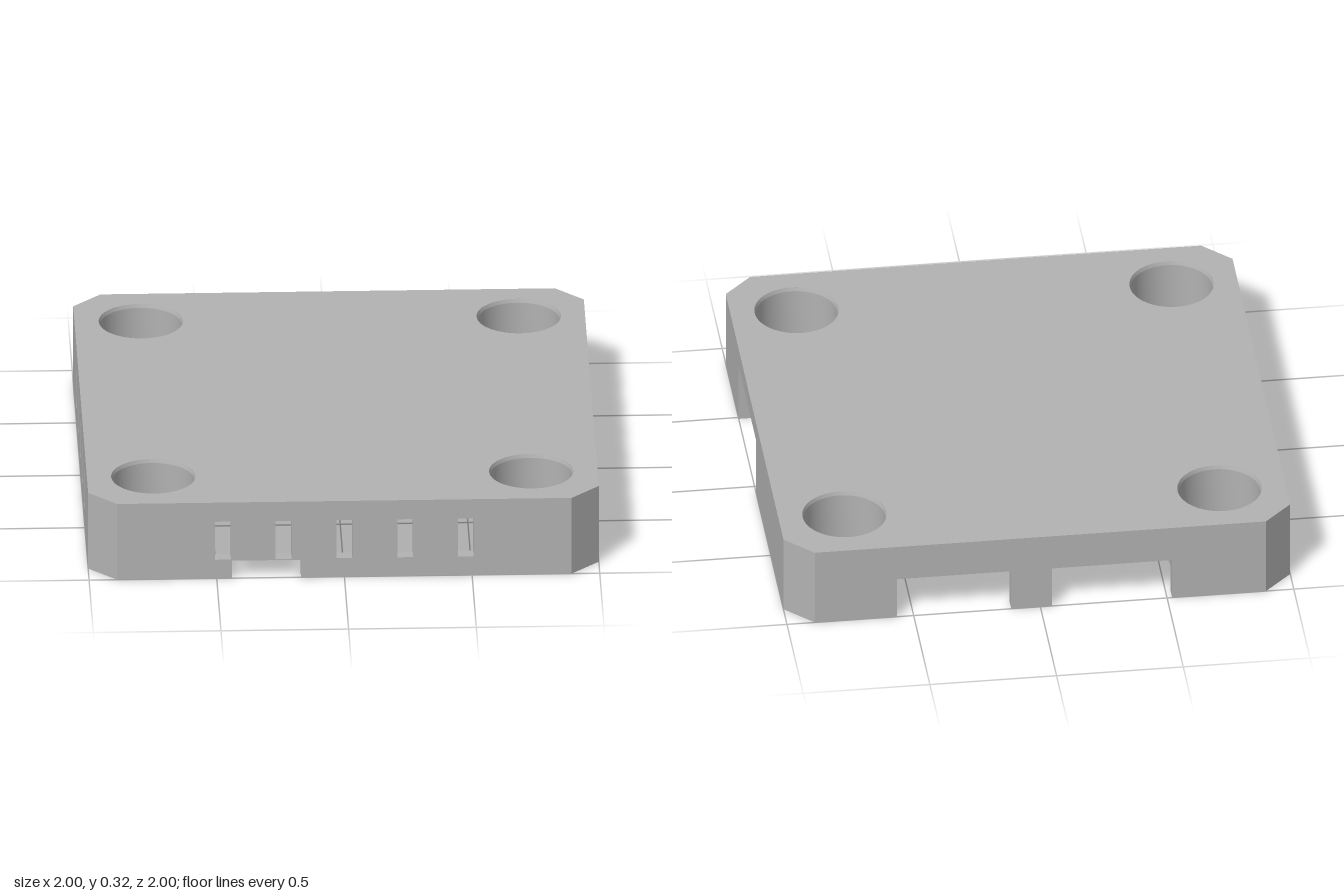
import * as THREE from 'three';
import { toCreasedNormals } from 'three/addons/utils/BufferGeometryUtils.js';

const CUT = 0.89;      // where the corner bevels begin
const WALL = 0.055;    // wall thickness
const INNER = 0.867;   // half length of a straight wall
const UNDER = 0.25;    // underside of the top plate
const TOP = 0.325;
const BOSS = 0.74;     // screw boss offset

const polygon = (pts) => new THREE.Shape(pts.map(([x, y]) => new THREE.Vector2(x, y)));
const extrude = (shape, depth) =>
  new THREE.ExtrudeGeometry(shape, { depth, bevelEnabled: false, curveSegments: 32 });

// Rectangular cut rising from the lower edge of a wall
const notch = (a, b, h) => [[a, 0], [a, h], [b, h], [b, 0]];

// Vertical wall with cuts in its lower edge and ventilation slots
function wallGeometry(cuts, slots, depth) {
  const shape = polygon([[-INNER, 0], ...cuts, [INNER, 0], [INNER, UNDER], [-INNER, UNDER]]);
  for (const u of slots) {
    shape.holes.push(new THREE.Path([[u - 0.031, 0.08], [u - 0.031, 0.243], [u + 0.031, 0.243], [u + 0.031, 0.08]]
      .map(([x, y]) => new THREE.Vector2(x, y))));
  }
  return extrude(shape, depth);
}

export function createModel() {
  const group = new THREE.Group();
  const grey = new THREE.MeshStandardMaterial({ color: 0xb2b2b2 });
  grey.name = 'grey plastic';

  const add = (name, geometry) => {
    const mesh = new THREE.Mesh(geometry, grey);
    mesh.name = name;
    group.add(mesh);
    return mesh;
  };

  // Top plate with bevelled corners and four screw openings
  const plate = polygon([[1, -CUT], [1, CUT], [CUT, 1], [-CUT, 1], [-1, CUT], [-1, -CUT], [-CUT, -1], [CUT, -1]]);
  for (const x of [-BOSS, BOSS]) {
    for (const y of [-BOSS, BOSS]) {
      plate.holes.push(new THREE.Path().absarc(x, y, 0.165, 0, Math.PI * 2, true));
    }
  }
  add('topPlate', extrude(plate, TOP - UNDER).rotateX(-Math.PI / 2).translate(0, UNDER, 0));

  // Walls: each is an outer skin and an inner skin, which may carry extra recesses
  const SKIN = 0.03;
  const vents = [-0.475, -0.238, 0, 0.238, 0.475];
  const frontCut = notch(-0.44, -0.17, 0.075);
  const rightCut = notch(-0.49, 0.05, 0.245);
  const backCuts = [...notch(-0.565, -0.115, 0.175), ...notch(0.045, 0.52, 0.175)];
  // Connector recess that merges with two of the slots, then two small recesses
  const leftRecess = [
    [-0.08, 0], [-0.08, 0.22], [-0.031, 0.22], [-0.031, 0.243], [0.031, 0.243], [0.031, 0.22],
    [0.207, 0.22], [0.207, 0.243], [0.269, 0.243], [0.269, 0.08], [0.255, 0.08], [0.255, 0],
    ...notch(0.32, 0.375, 0.045), ...notch(0.4, 0.5, 0.065),
  ];
  const walls = [
    { name: 'frontWall', turn: 0, outer: frontCut, inner: [...frontCut, ...notch(0.06, 0.17, 0.045)], slots: vents, innerSlots: vents },
    { name: 'plusXWall', turn: 1, outer: rightCut, inner: rightCut, slots: [], innerSlots: [] },
    { name: 'backWall', turn: 2, outer: backCuts, inner: backCuts, slots: [], innerSlots: [] },
    { name: 'minusXWall', turn: 3, outer: [], inner: leftRecess, slots: vents, innerSlots: [-0.475, -0.238, 0.475] },
  ];
  for (const w of walls) {
    const angle = w.turn * Math.PI / 2;
    add(w.name + 'Outer', wallGeometry(w.outer, w.slots, SKIN).translate(0, 0, 1 - SKIN)).rotation.y = angle;
    add(w.name + 'Inner', wallGeometry(w.inner, w.innerSlots, WALL - SKIN).translate(0, 0, 1 - WALL)).rotation.y = angle;
  }

  // Bevelled corner posts
  const corner = extrude(polygon([[1, INNER], [1, CUT], [CUT, 1], [INNER, 1], [INNER, 1 - WALL], [1 - WALL, INNER]]), UNDER)
    .rotateX(-Math.PI / 2);
  for (let i = 0; i < 4; i++) add('cornerWall', corner).rotation.y = i * Math.PI / 2;

  // Hollow screw bosses: countersunk well above a narrower through hole
  const profile = [[0.165, TOP], [0.16, 0.31], [0.16, 0.08], [0.09, 0.08], [0.09, 0], [0.2, 0], [0.2, UNDER]]
    .map(([r, y]) => new THREE.Vector2(r, y));
  const boss = toCreasedNormals(new THREE.LatheGeometry(profile, 48), 0.25);
  for (const x of [-BOSS, BOSS]) {
    for (const z of [-BOSS, BOSS]) add('screwBoss', boss).position.set(x, 0, z);
  }

  return group;
}
